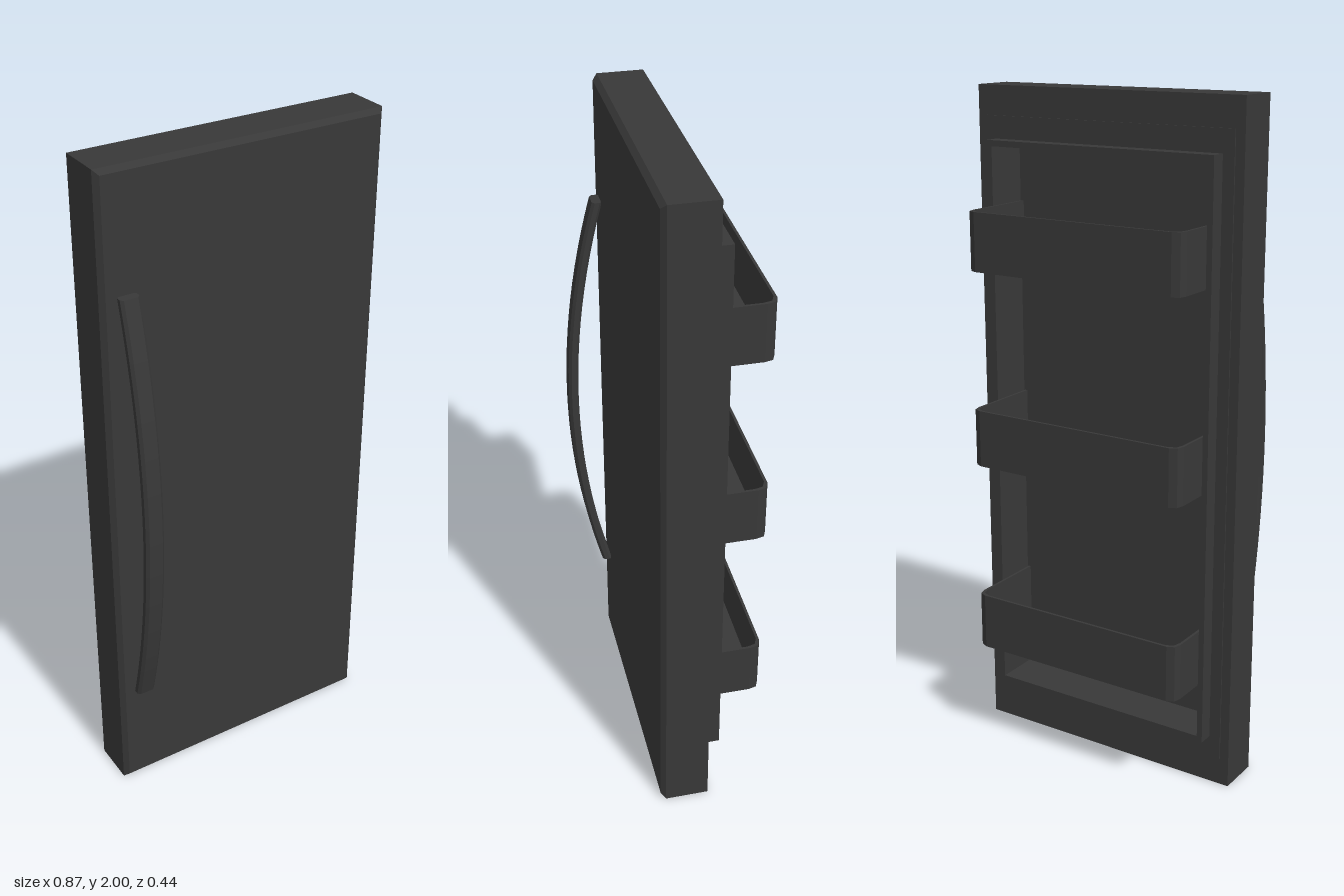
import * as THREE from 'three';

const material = new THREE.MeshStandardMaterial({ color: 0x383838, side: THREE.DoubleSide });
const MID = 1; // mid height of the door

function mesh(name, geometry, x = 0, y = 0, z = 0) {
  const m = new THREE.Mesh(geometry, material);
  m.name = name;
  m.position.set(x, y, z);
  return m;
}

function rectPoints(hw, hh) {
  return [[-hw, -hh], [hw, -hh], [hw, hh], [-hw, hh]].map(([x, y]) => new THREE.Vector2(x, y));
}

// Rectangular frame in the xy plane between two z values
function frame(name, hw, hh, innerW, innerH, z0, z1) {
  const shape = new THREE.Shape(rectPoints(hw, hh));
  shape.holes.push(new THREE.Path(rectPoints(innerW, innerH).reverse()));
  const geometry = new THREE.ExtrudeGeometry(shape, { depth: z1 - z0, bevelEnabled: false });
  return mesh(name, geometry, 0, MID, z0);
}

// Solid front slab with bevelled front edges
function frontPanel(hw, hh, z0, z1, bevel) {
  const depth = z1 - z0;
  const box = new THREE.BoxGeometry(2 * hw, 2 * hh, depth, 1, 1, 2);
  const p = box.attributes.position;
  for (let i = 0; i < p.count; i++) {
    const z = p.getZ(i);
    if (z > depth / 4) {
      p.setX(i, Math.sign(p.getX(i)) * (hw - bevel));
      p.setY(i, Math.sign(p.getY(i)) * (hh - bevel));
    } else if (z > -depth / 4) {
      p.setZ(i, depth / 2 - bevel);
    }
  }
  const geometry = box.toNonIndexed();
  geometry.computeVertexNormals();
  return mesh('frontPanel', geometry, 0, MID, (z0 + z1) / 2);
}

// Half-outline of a bin seen from above: d is the distance behind the door centre
function binOutline(inset) {
  const w = 0.35 - inset, back = 0.222 - inset, front = -0.04;
  return [
    [w, front], [w, back - 0.034], [w - 0.006, back - 0.01], [w - 0.028, back],
    [-w + 0.028, back], [-w + 0.006, back - 0.01], [-w, back - 0.034], [-w, front],
  ].map(([x, d]) => new THREE.Vector2(x, d));
}

// Open-topped bin: U-shaped wall on a thin floor
function bin(y) {
  const group = new THREE.Group();
  group.name = 'doorBin';
  const upright = (shape, height) => new THREE.ExtrudeGeometry(shape, { depth: height, bevelEnabled: false }).rotateX(-Math.PI / 2);
  const wall = new THREE.Shape([...binOutline(0), ...binOutline(0.008).reverse()]);
  group.add(mesh('binWall', upright(wall, 0.17)));
  group.add(mesh('binFloor', upright(new THREE.Shape(binOutline(0.004)), 0.01)));
  group.position.y = y;
  return group;
}

// Bowed handle: a chamfered bar bent along a parabola
function handle() {
  const w = 0.0285, t = 0.015, c = 0.008;
  const section = new THREE.Shape([
    [-w, -t + c], [-w + c, -t], [w - c, -t], [w, -t + c],
    [w, t - c], [w - c, t], [-w + c, t], [-w, t - c],
  ].map(([x, y]) => new THREE.Vector2(x, y)));
  const length = 1.31;
  const geometry = new THREE.ExtrudeGeometry(section, { depth: length, steps: 24, bevelEnabled: false });
  geometry.rotateX(-Math.PI / 2).translate(0, -length / 2, 0);
  const p = geometry.attributes.position;
  for (let i = 0; i < p.count; i++) {
    const k = p.getY(i) / (length / 2);
    p.setZ(i, p.getZ(i) - 0.09 * k * k);
  }
  geometry.computeVertexNormals();
  return mesh('handle', geometry, -0.361, 1.003, 0.205);
}

export function createModel() {
  const model = new THREE.Group();
  model.name = 'fridgeDoor';
  const pocketW = 0.353, pocketH = 0.833;

  // Door body: solid front, hollow back, thin seal and raised rim
  model.add(frontPanel(0.433, 1, 0.04, 0.103, 0.014));
  model.add(frame('backFrame', 0.433, 1, pocketW, pocketH, -0.043, 0.04));
  model.add(frame('seal', 0.405, 0.915, pocketW, pocketH, -0.047, -0.043));
  model.add(frame('innerRim', 0.37, 0.85, pocketW, pocketH, -0.093, -0.047));

  // Storage bins and handle
  for (const y of [0.33, 0.915, 1.495]) model.add(bin(y));
  model.add(handle());
  return model;
}
